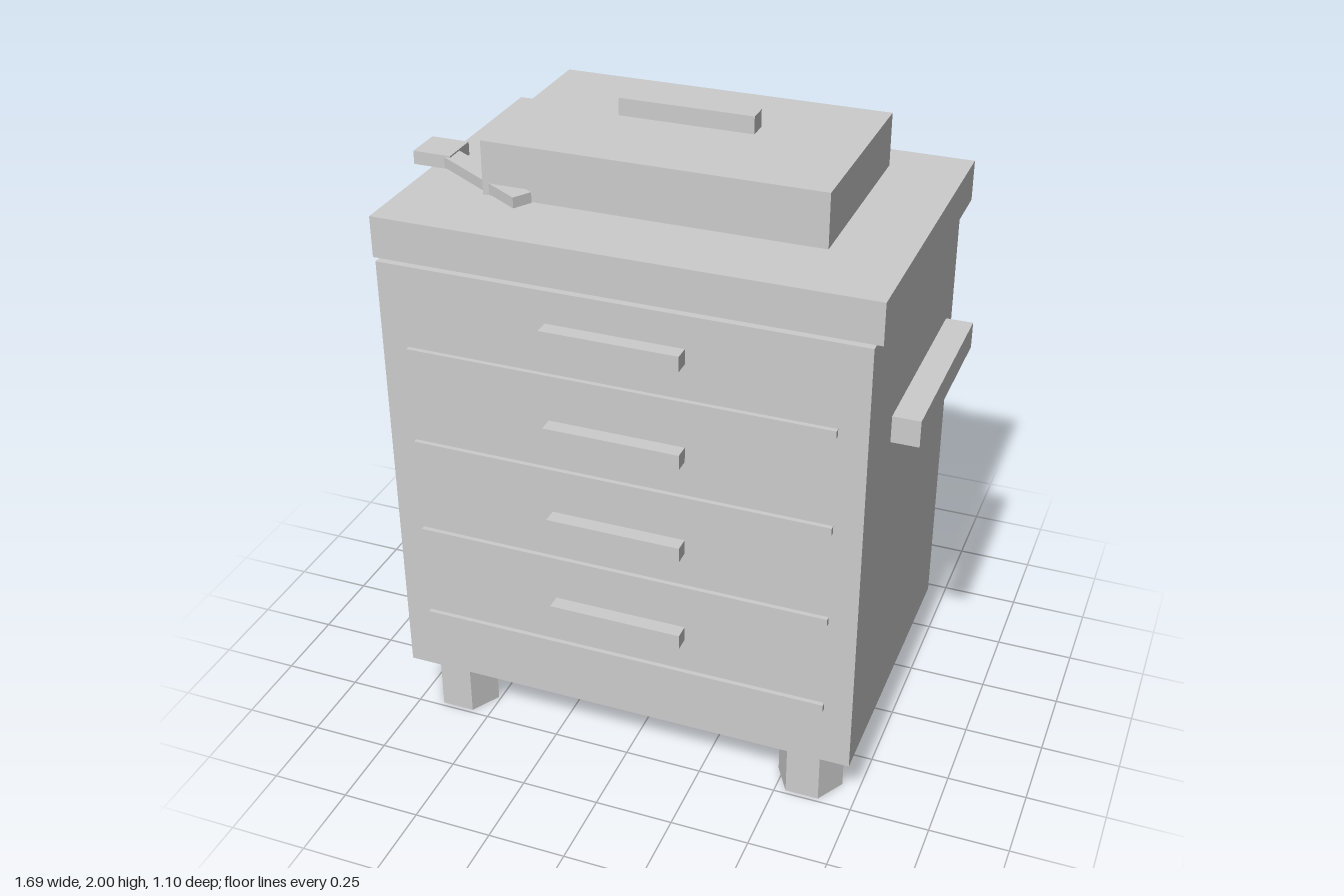
import * as THREE from 'three';

export function createModel() {
  const model = new THREE.Group();
  model.name = 'drawerCabinet';
  const material = new THREE.MeshStandardMaterial({ color: 0xcccccc, flatShading: true });

  function add(name, geometry, x, y, z) {
    const mesh = new THREE.Mesh(geometry, material);
    mesh.name = name;
    mesh.position.set(x, y, z);
    model.add(mesh);
    return mesh;
  }

  // Box given by its extents on each axis
  function box(name, [x0, x1], [y0, y1], [z0, z1]) {
    const geometry = new THREE.BoxGeometry(x1 - x0, y1 - y0, z1 - z0);
    return add(name, geometry, (x0 + x1) / 2, (y0 + y1) / 2, (z0 + z1) / 2);
  }

  // Cabinet body, worktop and raised lid
  box('body', [-0.762, 0.738], [0.175, 1.628], [-0.483, 0.502]);
  box('worktop', [-0.783, 0.757], [1.628, 1.758], [-0.548, 0.479]);
  box('lid', [-0.545, 0.52], [1.758, 1.928], [-0.42, 0.221]);
  box('lidHandle', [-0.227, 0.2], [1.945, 2], [-0.13, -0.067]);

  // Push handle on the left side
  box('sideHandle', [0.757, 0.842], [1.243, 1.328], [-0.31, 0.327]);

  // Four drawers, each with a pull and a rail below it
  for (let i = 0; i < 4; i++) {
    const y = 0.387 + i * 0.321;
    box('drawerRail', [-0.677, 0.65], [y - 0.012, y + 0.012], [0.5, 0.517]);
    box('drawerPull', [-0.227, 0.2], [y + 0.126, y + 0.174], [0.5, 0.55]);
  }

  // Six-sided feet
  const foot = new THREE.CylinderGeometry(0.106, 0.106, 0.175, 6, 1, false, Math.PI / 6);
  for (const x of [-0.614, 0.588]) {
    for (const z of [-0.374, 0.395]) add('foot', foot, x, 0.0875, z);
  }

  // Wrench lying on the worktop: square head and angled shaft
  box('wrenchHead', [-0.845, -0.72], [1.758, 1.801], [-0.038, 0.088]);
  const shaft = add('wrenchShaft', new THREE.BoxGeometry(0.45, 0.034, 0.064), -0.589, 1.779, 0.144);
  shaft.rotation.y = -0.553;

  return model;
}
